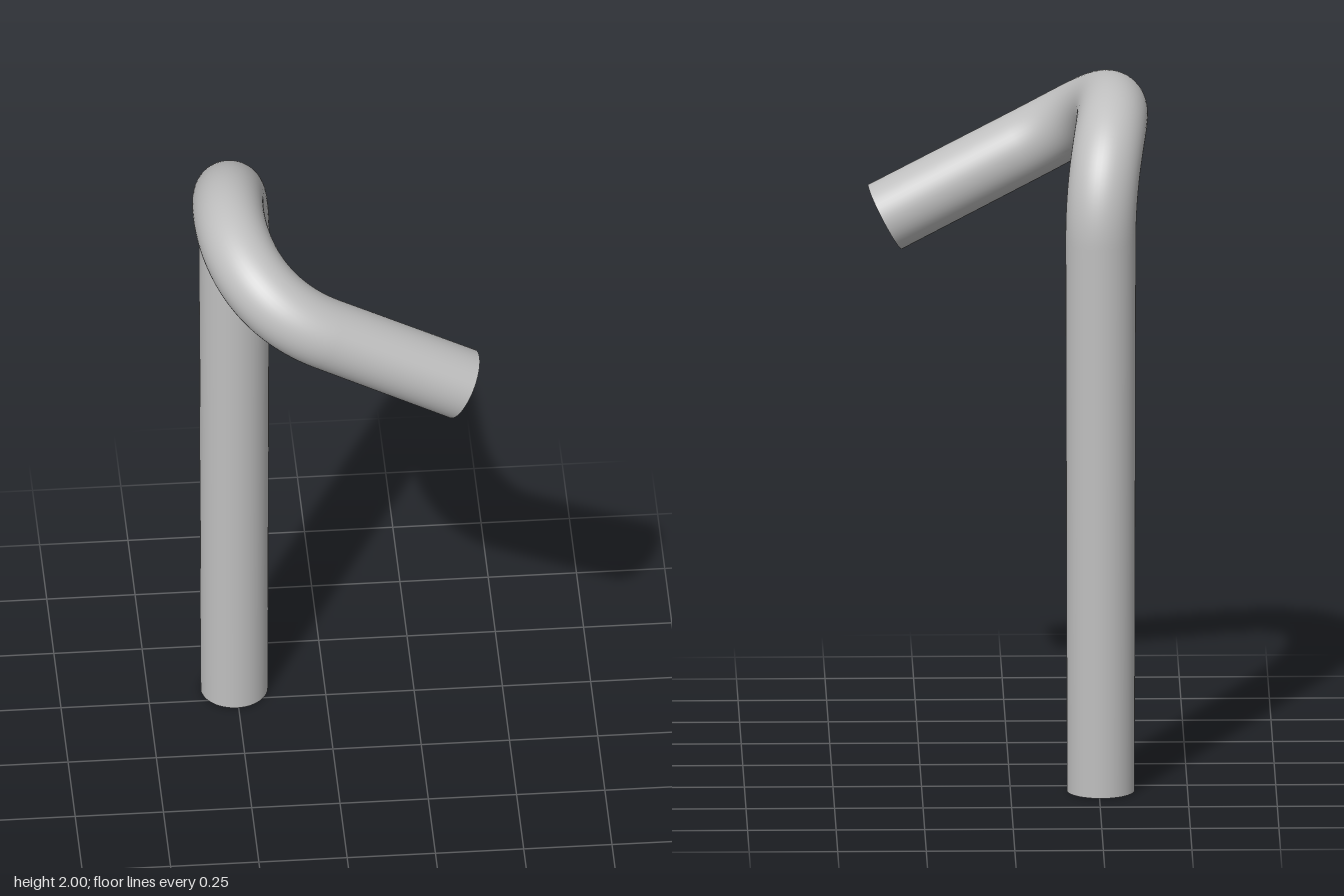
import * as THREE from 'three';

const v = (x, y, z) => new THREE.Vector3(x, y, z);

// Open tube along a path, its radius changing evenly from one end to the other
function taperedTube(path, segments, sides, startRadius, endRadius) {
  const geometry = new THREE.TubeGeometry(path, segments, 1, sides, false);
  const position = geometry.attributes.position;
  const p = v(0, 0, 0);
  for (let i = 0; i <= segments; i++) {
    const u = i / segments;
    const centre = path.getPointAt(u);
    const radius = THREE.MathUtils.lerp(startRadius, endRadius, u);
    for (let j = 0; j <= sides; j++) {
      const k = i * (sides + 1) + j;
      p.fromBufferAttribute(position, k).sub(centre).multiplyScalar(radius).add(centre);
      position.setXYZ(k, p.x, p.y, p.z);
    }
  }
  return geometry;
}

export function createModel() {
  const group = new THREE.Group();
  group.name = 'bentPipe';

  const grey = new THREE.MeshStandardMaterial({ color: 0xbfbfbf, side: THREE.DoubleSide });
  grey.name = 'grey';

  // Upright post, overhead bend, then a straight spout sloping down
  const foot = v(-0.255, 0, -0.305);
  const postTop = v(-0.255, 1.6, -0.305);
  const spoutStart = v(-0.04, 1.722, 0.3);
  const spoutEnd = v(0.343, 1.52, 0.3);

  const path = new THREE.CurvePath();
  path.add(new THREE.LineCurve3(foot, postTop));
  path.add(new THREE.CubicBezierCurve3(
    postTop, v(-0.255, 2.045, -0.305), v(-0.425, 1.925, 0.3), spoutStart));
  path.add(new THREE.LineCurve3(spoutStart, spoutEnd));

  const pipe = new THREE.Mesh(taperedTube(path, 200, 48, 0.0955, 0.103), grey);
  pipe.name = 'pipe';
  group.add(pipe);
  return group;
}
